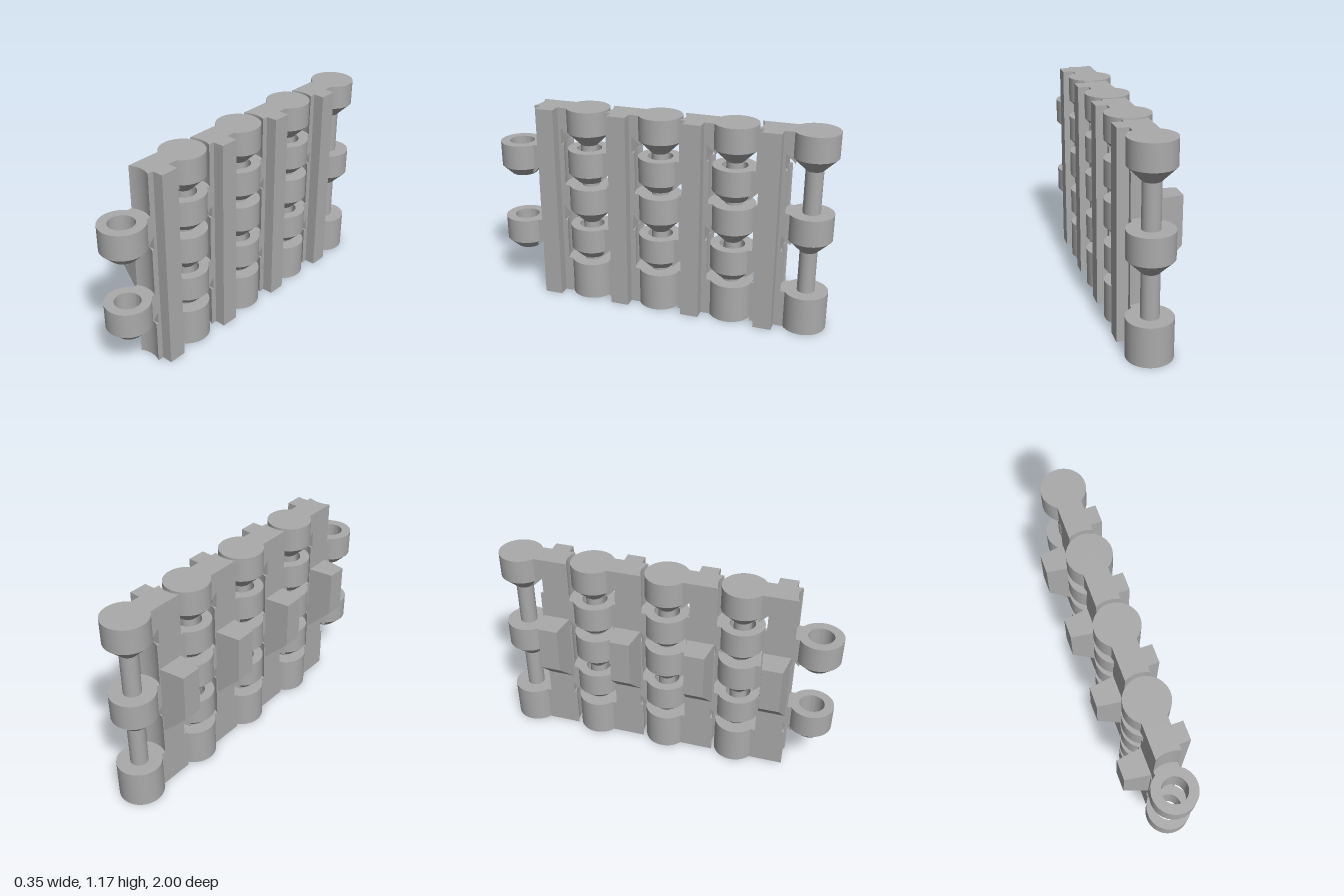
import * as THREE from 'three';
import { toCreasedNormals } from 'three/addons/utils/BufferGeometryUtils.js';

const HEIGHT = 1.175;
const PITCH = 0.4365;   // distance between hinge axes
const AXIS_X = 0.042;   // hinge axis sideways position
const RADIUS = 0.127;   // knuckles and rings
const PIN = 0.05;
const HOLE = 0.073;
const CLEAR = 0.148;    // clearance cut around each hinge
const X0 = -0.028, X1 = 0.11; // plate thickness

const grey = new THREE.MeshStandardMaterial({ color: 0xaaaaaa });
grey.name = 'grey plastic';

function add(parent, name, geometry) {
  const mesh = new THREE.Mesh(geometry, grey);
  mesh.name = name;
  parent.add(mesh);
  return mesh;
}

function lathe(points) {
  const pts = points.map(([r, y]) => new THREE.Vector2(r, y));
  return toCreasedNormals(new THREE.LatheGeometry(pts, 64), 0.5);
}

function extrude(points, depth) {
  const shape = new THREE.Shape(points.map(([a, b]) => new THREE.Vector2(a, b)));
  return new THREE.ExtrudeGeometry(shape, { depth, bevelEnabled: false });
}

// Slab of the plate, its ends hollowed around the hinges or cut flat
function slab(y0, y1, flatBack, flatFront) {
  const n = 14, back = [], front = [];
  for (let i = 0; i <= n; i++) {
    const x = X0 + (X1 - X0) * i / n;
    const arc = Math.sqrt(CLEAR ** 2 - (x - AXIS_X) ** 2);
    back.push([x, -(flatBack ? CLEAR : arc)]);
    front.unshift([x, -(PITCH - (flatFront ? CLEAR : arc))]);
  }
  const geo = extrude([...back, ...front], y1 - y0);
  return geo.rotateX(-Math.PI / 2).translate(0, y0, 0);
}

// Neck joining a knuckle or ring to the plate; dir is +1 or -1 along z
function neck(parent, name, axisZ, dir, top, bottomAt) {
  const a = 0.095, b = 0.165;
  const pts = [[a, bottomAt(a)], [b, bottomAt(b)], [b, top], [a, top]]
    .map(([r, y]) => [-(axisZ + dir * r), y]);
  // shape x becomes -z, depth becomes x
  add(parent, name, extrude(pts, X1 - X0).rotateY(Math.PI / 2).translate(X0, 0, 0));
}

function createLink() {
  const link = new THREE.Group();

  // Plate, stacked from slabs
  const cuts = [0, 0.25, 0.33, 0.475, 0.575, 0.73, 0.81, 0.955, 1.055, HEIGHT];
  const plate = new THREE.Group();
  plate.name = 'plate';
  for (let i = 0; i < cuts.length - 1; i++) {
    add(plate, 'plateSlab', slab(cuts[i], cuts[i + 1], i === 3 || i === 7, i === 1 || i === 5));
  }
  link.add(plate);

  // Rib running the full height
  const rib = add(link, 'rib', new THREE.BoxGeometry(0.085, HEIGHT, 0.106));
  rib.position.set(0.1315, HEIGHT / 2, 0.2165);

  // Tapered fin with a sloping underside
  const fin = extrude([[-0.175, 0.525], [-0.175, 0.8], [-0.02, 0.8], [-0.02, 0.37]], 2).translate(0, 0, -1);
  const p = fin.attributes.position;
  for (let i = 0; i < p.count; i++) {
    const half = 0.058 + 0.021 * (p.getX(i) + 0.175) / 0.147;
    p.setZ(i, p.getZ(i) * half);
  }
  fin.computeVertexNormals();
  add(link, 'fin', fin).position.z = 0.2165;

  // Hinge pin
  const pin = add(link, 'hingePin', new THREE.CylinderGeometry(PIN, PIN, HEIGHT - 0.02, 48));
  pin.position.set(AXIS_X, HEIGHT / 2, 0);

  // Knuckles on the pin: flat at the bottom, coned underneath above
  for (const [y0, y1] of [[0, 0.225], [0.475, 0.705], [0.955, HEIGHT]]) {
    const cone = y0 > 0 ? RADIUS - PIN : 0;
    const profile = cone
      ? [[0, y0], [PIN, y0], [RADIUS, y0 + cone], [RADIUS, y1], [0, y1]]
      : [[0, y0], [RADIUS, y0], [RADIUS, y1], [0, y1]];
    add(link, 'knuckle', lathe(profile)).position.x = AXIS_X;
    neck(link, 'knuckleNeck', 0, 1, y1, r => (cone ? y0 + r - PIN : y0));
  }

  // Rings that fit the next pin
  for (const [y0, y1] of [[0.25, 0.45], [0.73, 0.93]]) {
    const ring = add(link, 'ring', lathe([
      [HOLE, y0], [RADIUS, y0 + RADIUS - HOLE], [RADIUS, y1], [HOLE, y1], [HOLE, y0],
    ]));
    ring.position.set(AXIS_X, 0, PITCH);
    neck(link, 'ringNeck', PITCH, -1, y1, r => y0 + r - HOLE);
  }
  return link;
}

export function createModel() {
  const model = new THREE.Group();
  model.name = 'hingedChain';
  for (let i = 0; i < 4; i++) {
    const link = createLink();
    link.name = 'link' + (i + 1);
    link.position.z = (i - 2) * PITCH;
    model.add(link);
  }
  return model;
}
